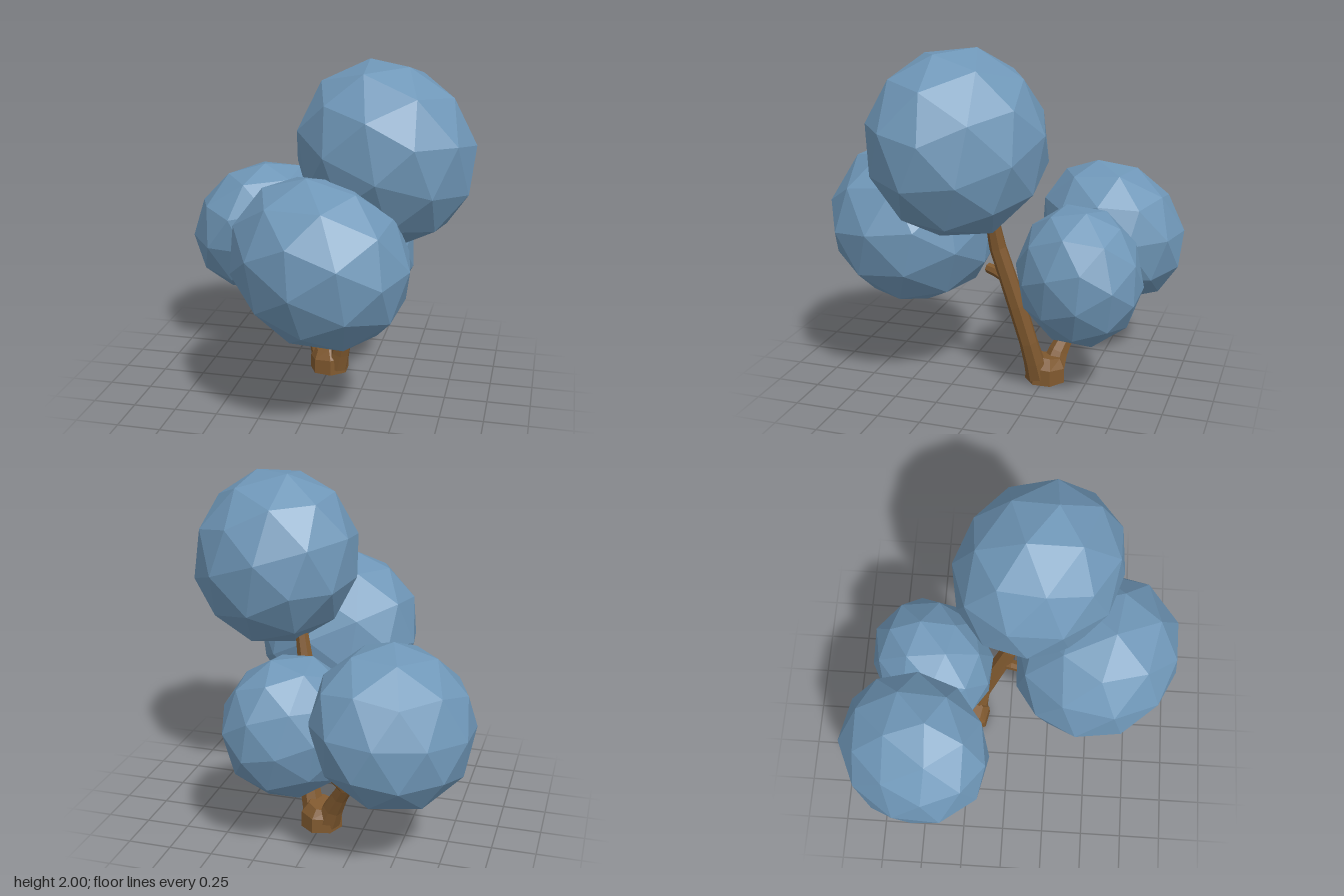
import * as THREE from 'three';

const SIDES = 7;

// Low-poly limb: rings of [x, y, z, radius] joined in a loop, with end caps
function limb(name, rings, material) {
  const up = new THREE.Vector3(0, 1, 0);
  const centres = rings.map((r) => new THREE.Vector3(r[0], r[1], r[2]));
  const positions = [], index = [];
  rings.forEach((ring, i) => {
    const a = centres[Math.max(i - 1, 0)], b = centres[Math.min(i + 1, rings.length - 1)];
    const tangent = b.clone().sub(a).normalize();
    // a ring on the ground stays level
    const turn = new THREE.Quaternion().setFromUnitVectors(up, ring[1] === 0 ? up : tangent);
    for (let j = 0; j < SIDES; j++) {
      const t = (j / SIDES) * Math.PI * 2 + 0.25;
      const p = new THREE.Vector3(Math.sin(t), 0, Math.cos(t)).multiplyScalar(ring[3]);
      positions.push(...p.applyQuaternion(turn).add(centres[i]).toArray());
    }
  });
  for (let i = 0; i < rings.length - 1; i++) {
    for (let j = 0; j < SIDES; j++) {
      const k = (j + 1) % SIDES;
      const a = i * SIDES + j, b = i * SIDES + k;
      index.push(a, b, b + SIDES, a, b + SIDES, a + SIDES);
    }
  }
  const last = (rings.length - 1) * SIDES;
  for (let j = 1; j < SIDES - 1; j++) {
    index.push(0, j + 1, j, last, last + j, last + j + 1);
  }
  const geometry = new THREE.BufferGeometry();
  geometry.setAttribute('position', new THREE.Float32BufferAttribute(positions, 3));
  geometry.setIndex(index);
  const flat = geometry.toNonIndexed();
  flat.computeVertexNormals();
  const mesh = new THREE.Mesh(flat, material);
  mesh.name = name;
  return mesh;
}

// Faceted leaf clump: a turned icosphere, flattened along an axis, sized to a box
function clump(name, min, max, turn, axis, flatten, material) {
  const geometry = new THREE.IcosahedronGeometry(1, 1);
  geometry.applyMatrix4(new THREE.Matrix4().makeRotationFromEuler(new THREE.Euler(...turn)));
  const n = new THREE.Vector3(...axis).normalize();
  const position = geometry.attributes.position;
  const v = new THREE.Vector3();
  for (let i = 0; i < position.count; i++) {
    v.fromBufferAttribute(position, i);
    v.addScaledVector(n, (flatten - 1) * v.dot(n));
    position.setXYZ(i, v.x, v.y, v.z);
  }
  geometry.computeBoundingBox();
  const from = geometry.boundingBox;
  const to = new THREE.Box3(new THREE.Vector3(...min), new THREE.Vector3(...max));
  const c = from.getCenter(new THREE.Vector3());
  const s = to.getSize(new THREE.Vector3()).divide(from.getSize(new THREE.Vector3()));
  geometry.translate(-c.x, -c.y, -c.z).scale(s.x, s.y, s.z);
  const mid = to.getCenter(new THREE.Vector3());
  geometry.translate(mid.x, mid.y, mid.z);
  geometry.computeVertexNormals();
  const mesh = new THREE.Mesh(geometry, material);
  mesh.name = name;
  return mesh;
}

export function createModel() {
  const bark = new THREE.MeshStandardMaterial({ color: 0x80592f, flatShading: true });
  bark.name = 'bark brown';
  const leaf = new THREE.MeshStandardMaterial({ color: 0x6f97b8, flatShading: true });
  leaf.name = 'leaf blue';

  const tree = new THREE.Group();
  tree.name = 'tree';

  // Forked trunk with a rounded crotch
  const wood = new THREE.Group();
  wood.name = 'trunkAndBranches';
  wood.add(
    limb('trunkBase', [
      [0, 0, -0.255, 0.122], [0, 0.09, -0.255, 0.12], [-0.01, 0.145, -0.26, 0.085],
    ], bark),
    limb('tallBranch', [
      [0.05, 0.04, -0.22, 0.07], [0.075, 0.14, -0.205, 0.062], [0.103, 0.27, -0.178, 0.055],
      [0.126, 0.5, -0.115, 0.056], [0.16, 0.85, -0.01, 0.05], [0.2, 1.08, 0.022, 0.038],
      [0.23, 1.2, 0.05, 0.03],
    ], bark),
    limb('lowBranch', [
      [-0.045, 0.05, -0.285, 0.075], [-0.085, 0.15, -0.31, 0.06], [-0.135, 0.25, -0.35, 0.047],
      [-0.2, 0.37, -0.4, 0.044], [-0.28, 0.49, -0.44, 0.042], [-0.34, 0.56, -0.46, 0.034],
    ], bark),
    limb('twig', [
      [-0.18, 0.33, -0.4, 0.03], [-0.145, 0.385, -0.44, 0.025], [-0.11, 0.45, -0.48, 0.02],
    ], bark),
    limb('stub', [
      [0.14, 0.67, -0.05, 0.036], [0.12, 0.69, 0.01, 0.034], [0.1, 0.7, 0.07, 0.03],
    ], bark),
  );

  // Leaf clumps
  const leaves = new THREE.Group();
  leaves.name = 'foliage';
  leaves.add(
    clump('topClump', [-0.11, 1.0, -0.34], [0.89, 2.0, 0.61],
      [0.35, 0.6, 0.2], [1, 0.5, -1], 0.89, leaf),
    clump('frontClump', [-0.39, 0.49, 0.03], [0.61, 1.45, 0.97],
      [1.1, 0.3, 0.75], [1, 0.7, -1], 0.9, leaf),
    clump('sideClump', [-0.9, 0.38, -0.97], [-0.06, 1.25, -0.09],
      [0.2, 1.3, 0.5], [1, -0.9, 1], 0.84, leaf),
    clump('backClump', [-0.25, 0.32, -0.84], [0.47, 1.11, -0.11],
      [0.8, 0.9, 0.1], [1, 0, 1], 0.87, leaf),
  );

  tree.add(wood, leaves);
  return tree;
}
